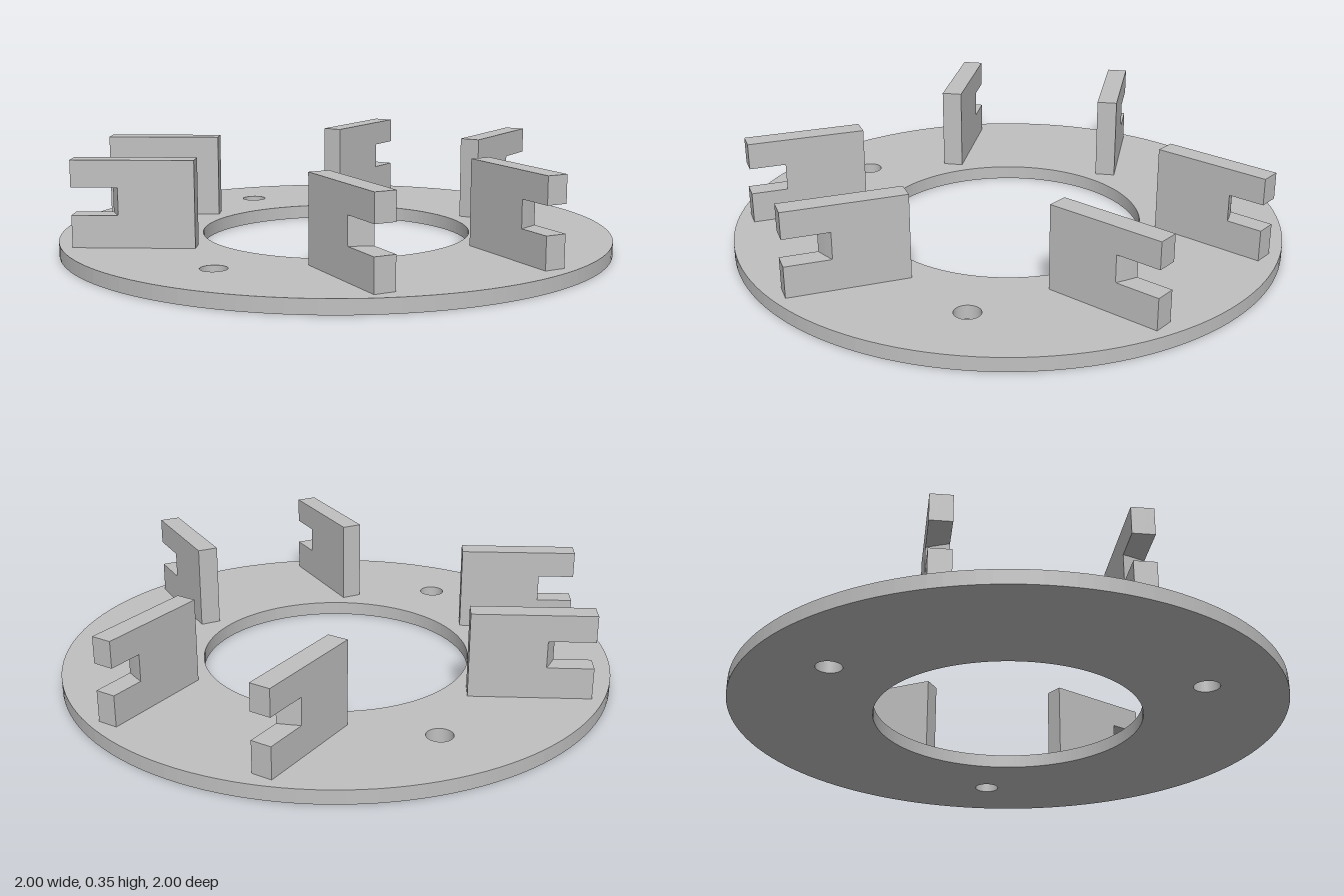
import * as THREE from 'three';

const PLATE_TOP = 0.05;
const GROOVE_RADIUS = 0.8125; // round floor of the groove cut into every fin

// Flat ring with a large bore and three bolt holes
function makePlate(material) {
  const shape = new THREE.Shape().absarc(0, 0, 1, 0, Math.PI * 2, false);
  const addHole = (x, y, r) =>
    shape.holes.push(new THREE.Path().absarc(x, y, r, 0, Math.PI * 2, true));
  addHole(0, 0, 0.488);
  for (let i = 0; i < 3; i++) {
    const a = Math.PI / 2 + (i * Math.PI * 2) / 3;
    addHole(0.737 * Math.cos(a), 0.737 * Math.sin(a), 0.046);
  }
  const geometry = new THREE.ExtrudeGeometry(shape, {
    depth: PLATE_TOP, bevelEnabled: false, curveSegments: 64,
  });
  geometry.rotateX(-Math.PI / 2);
  const plate = new THREE.Mesh(geometry, material);
  plate.name = 'ringPlate';
  return plate;
}

// Upright fin running outward along +z, with a groove open at its outer end
function makeFinGeometry(centreX) {
  const inner = 0.47, outer = 0.895, floor = 0.75;
  const top = 0.355, low = 0.163, high = 0.26, thickness = 0.075;
  const shape = new THREE.Shape([
    [inner, PLATE_TOP], [outer, PLATE_TOP], [outer, low], [floor, low],
    [floor, high], [outer, high], [outer, top], [inner, top],
  ].map(([x, y]) => new THREE.Vector2(x, y)));
  const geometry = new THREE.ExtrudeGeometry(shape, {
    depth: thickness, steps: 4, bevelEnabled: false,
  });
  geometry.rotateY(-Math.PI / 2);
  geometry.translate(centreX + thickness / 2, 0, 0);

  // Bend the groove floor onto a circle around the ring's centre
  const p = geometry.attributes.position;
  for (let i = 0; i < p.count; i++) {
    if (Math.abs(p.getZ(i) - floor) < 0.001) {
      p.setZ(i, Math.sqrt(GROOVE_RADIUS ** 2 - p.getX(i) ** 2));
    }
  }
  geometry.computeVertexNormals();
  return geometry;
}

export function createModel() {
  const model = new THREE.Group();
  model.name = 'finnedRing';
  const grey = new THREE.MeshStandardMaterial({ color: 0xc0c0c0 });
  grey.name = 'light grey';

  model.add(makePlate(grey));

  // Three pairs of parallel fins, a third of a turn apart
  const finGeometries = [-0.3125, 0.3125].map(makeFinGeometry);
  for (let i = 0; i < 3; i++) {
    const pair = new THREE.Group();
    pair.name = 'finPair' + (i + 1);
    for (const geometry of finGeometries) {
      const fin = new THREE.Mesh(geometry, grey);
      fin.name = 'groovedFin';
      pair.add(fin);
    }
    pair.rotation.y = (i * Math.PI * 2) / 3;
    model.add(pair);
  }
  return model;
}
